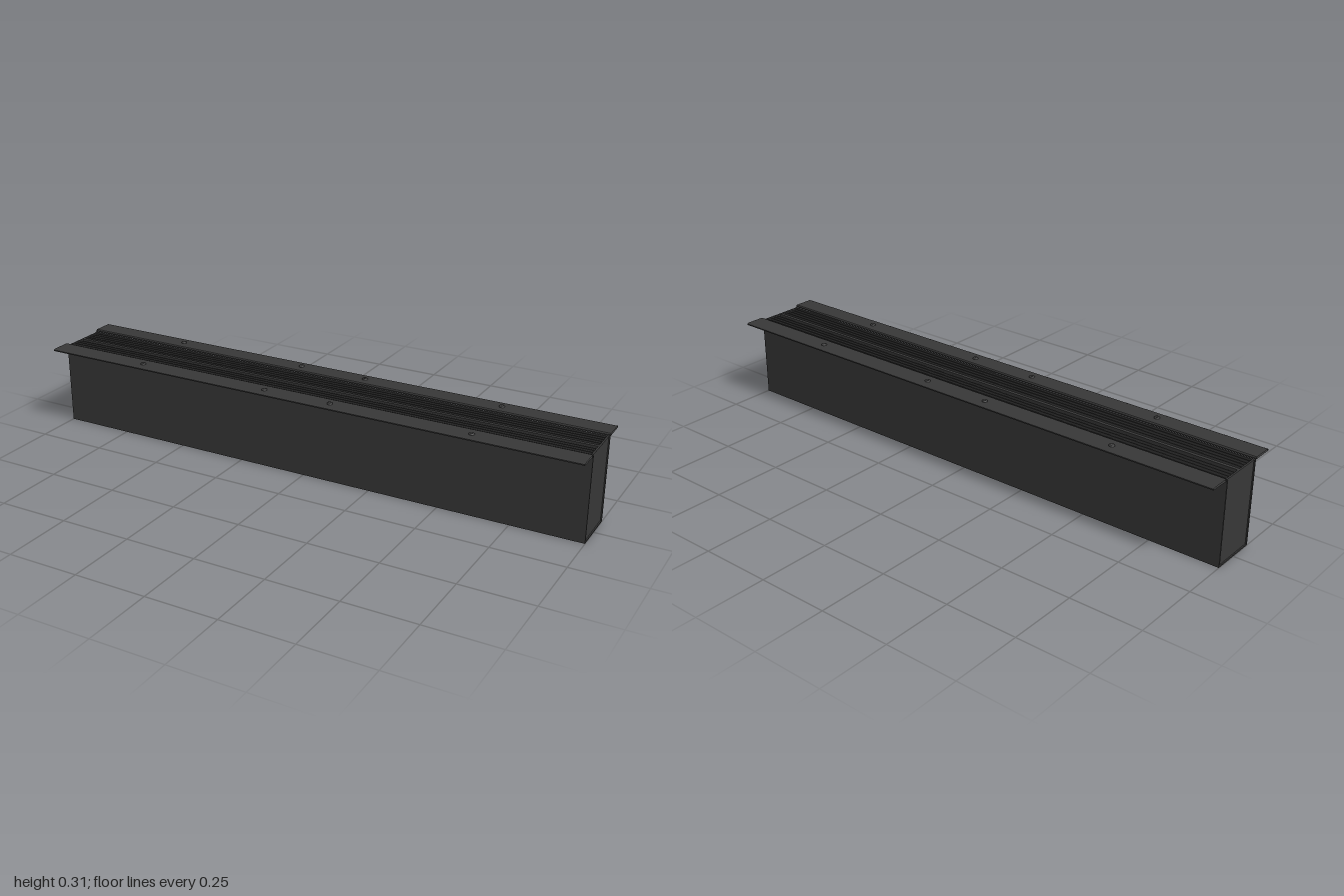
import * as THREE from 'three';

const metal = new THREE.MeshStandardMaterial({ color: 0x383838 });
const sheet = new THREE.MeshStandardMaterial({ color: 0x383838, side: THREE.DoubleSide });

export function createModel() {
  const root = new THREE.Group();

  const add = (name, geometry, x, y, z, material = metal) => {
    const mesh = new THREE.Mesh(geometry, material);
    mesh.name = name;
    mesh.position.set(x, y, z);
    root.add(mesh);
    return mesh;
  };
  const box = (name, w, h, d, x, y, z) => add(name, new THREE.BoxGeometry(w, h, d), x, y, z);

  // Open-ended folded strip running along x, from [z, y] profile points
  const strip = (name, profile) => {
    const pos = [];
    for (let i = 0; i < profile.length - 1; i++) {
      const [z0, y0] = profile[i];
      const [z1, y1] = profile[i + 1];
      pos.push(-1, y0, z0, 1, y0, z0, 1, y1, z1, -1, y0, z0, 1, y1, z1, -1, y1, z1);
    }
    const g = new THREE.BufferGeometry();
    g.setAttribute('position', new THREE.Float32BufferAttribute(pos, 3));
    g.computeVertexNormals();
    add(name, g, 0, 0, 0, sheet);
  };

  // Plenum box: floor, long walls and slightly recessed end plates
  box('floor', 2, 0.005, 0.17, 0, 0.0025, 0);
  for (const s of [-1, 1]) {
    box('sideWall', 2, 0.292, 0.005, 0, 0.151, s * 0.0825);
    box('endPlate', 0.006, 0.292, 0.16, s * 0.993, 0.151, 0);
  }

  // Folded mounting flanges with a closed cross-section and open ends
  for (const s of [-1, 1]) {
    const profile = [[0.086, 0.297], [0.086, 0.301], [0.09, 0.3045], [0.158, 0.3045],
      [0.163, 0.302], [0.163, 0.298], [0.086, 0.297]].map(([z, y]) => [s * z, y]);
    if (s < 0) profile.reverse();
    strip('flange', profile);
  }

  // Centre rail and lengthwise blades of the grille
  box('centreRail', 1.98, 0.035, 0.012, 0, 0.279, 0);
  for (const s of [-1, 1]) {
    for (const z of [0.022, 0.038, 0.054, 0.07]) {
      box('longBlade', 1.98, 0.018, 0.003, 0, 0.286, s * z);
    }
  }

  // Cross blades beneath the lengthwise ones
  const count = 33;
  for (let i = 0; i < count; i++) {
    const x = -0.96 + (1.92 * i) / (count - 1);
    box('crossBlade', 0.004, 0.03, 0.16, x, 0.272, 0);
  }

  // Domed screw heads with a shallow socket
  const screw = new THREE.LatheGeometry(
    [[0.0098, 0.304], [0.0098, 0.306], [0.0075, 0.309], [0.004, 0.309], [0.003, 0.307], [0, 0.307]]
      .map(([r, y]) => new THREE.Vector2(r, y)), 16);
  for (const x of [-0.625, -0.125, 0.125, 0.625]) {
    for (const z of [-0.126, 0.126]) add('screw', screw, x, 0, z, sheet);
  }

  return root;
}
